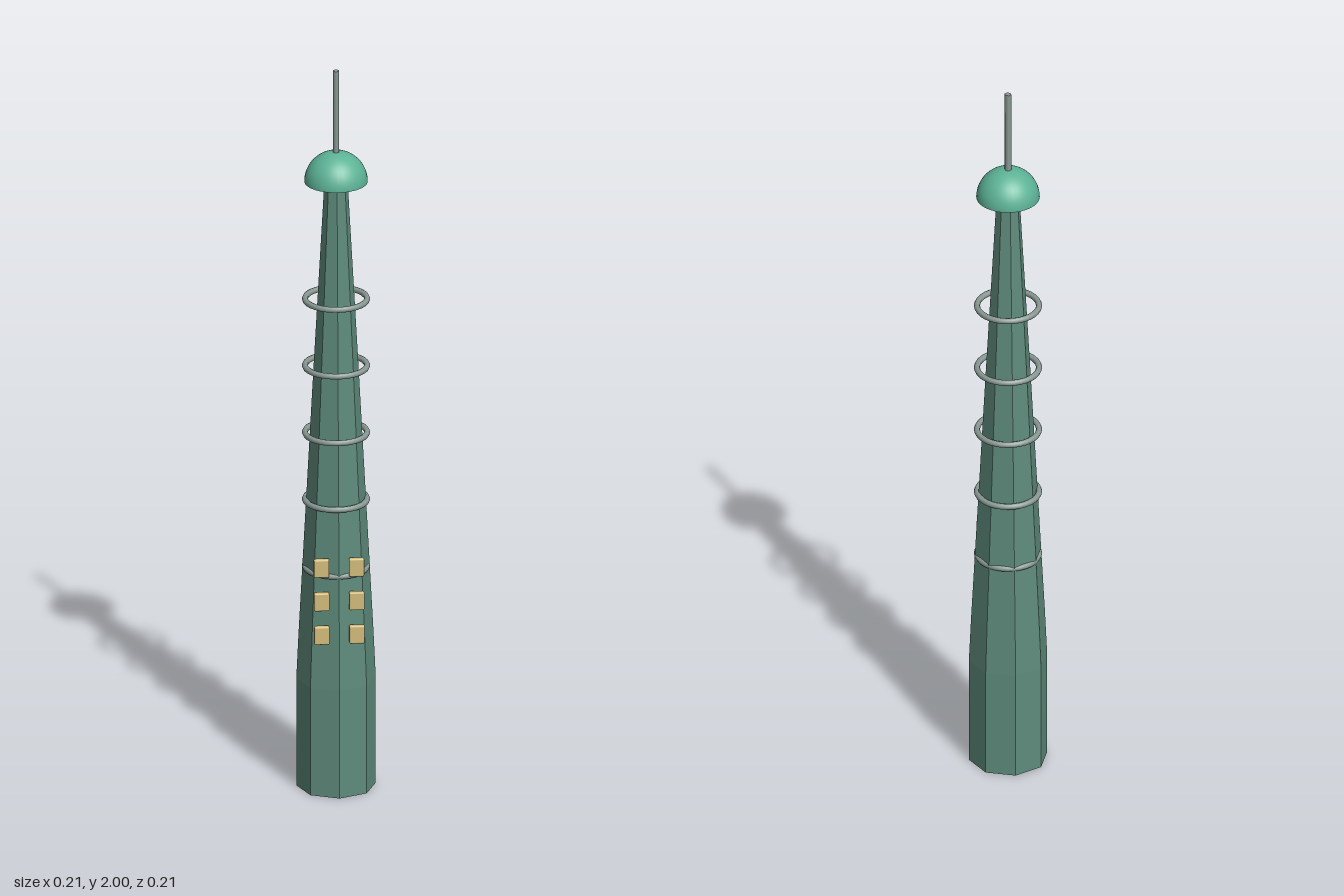
import * as THREE from 'three';
import { RoundedBoxGeometry } from 'three/addons/geometries/RoundedBoxGeometry.js';

const paint = (name, color, extra = {}) => {
  const m = new THREE.MeshStandardMaterial({ color, ...extra });
  m.name = name;
  return m;
};

export function createModel() {
  const model = new THREE.Group();
  model.name = 'spireTower';
  const wall = paint('wallGreen', 0x5f8b7c, { flatShading: true });
  const copper = paint('domeGreen', 0x5db396);
  const metal = paint('greyMetal', 0x8a9a94);
  const glow = paint('windowYellow', 0xd3bb7b);

  const add = (name, geometry, material, x = 0, y = 0, z = 0, parent = model) => {
    const mesh = new THREE.Mesh(geometry, material);
    mesh.name = name;
    mesh.position.set(x, y, z);
    parent.add(mesh);
    return mesh;
  };

  // Octagonal shaft: straight base, then a long taper, closed at both ends
  const profile = [[0, 0], [0.104, 0], [0.104, 0.3], [0.098, 0.43], [0.059, 1.17], [0.03, 1.7], [0, 1.7]]
    .map(([r, y]) => new THREE.Vector2(r, y));
  add('shaft', new THREE.LatheGeometry(profile, 8), wall);

  // Half-dome cap with a flat underside
  add('dome', new THREE.SphereGeometry(0.083, 32, 12, 0, Math.PI * 2, 0, Math.PI / 2), copper, 0, 1.69);
  add('domeUnderside', new THREE.CircleGeometry(0.083, 32), copper, 0, 1.69).rotation.x = Math.PI / 2;

  // Antenna
  add('antenna', new THREE.CylinderGeometry(0.009, 0.009, 0.24, 6), metal, 0, 1.88);

  // Five equal rings around the tapering shaft
  const rings = new THREE.Group();
  rings.name = 'rings';
  model.add(rings);
  const ringGeometry = new THREE.TorusGeometry(0.081, 0.008, 8, 32).rotateX(Math.PI / 2);
  for (let i = 0; i < 5; i++) add('ring', ringGeometry, metal, 0, 0.613 + i * 0.187, 0, rings);

  // Two columns of windows stepping back with the taper
  const windows = new THREE.Group();
  windows.name = 'windows';
  model.add(windows);
  const windowGeometry = new RoundedBoxGeometry(0.04, 0.05, 0.016, 2, 0.004);
  for (let row = 0; row < 3; row++) {
    for (const side of [-1, 1]) {
      add('window', windowGeometry, glow, side * 0.046, 0.457 + row * 0.092, 0.097 - row * 0.005, windows);
    }
  }
  return model;
}
